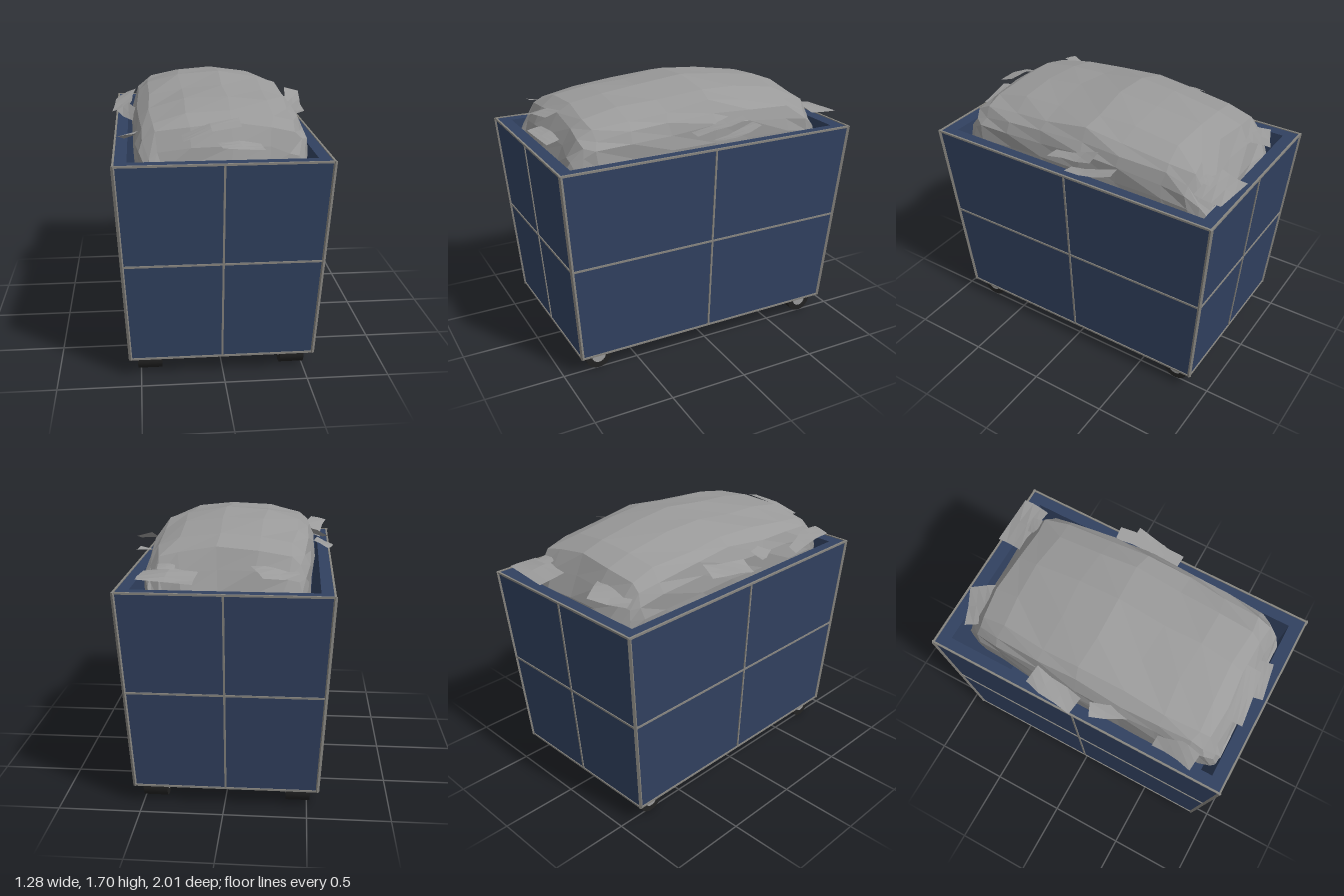
import * as THREE from 'three';

const blue = new THREE.MeshStandardMaterial({ color: 0x314160 });
const frameGrey = new THREE.MeshStandardMaterial({ color: 0x86847f });
const black = new THREE.MeshStandardMaterial({ color: 0x222222 });
const hubGrey = new THREE.MeshStandardMaterial({ color: 0x9a9a9a });
const heapGrey = new THREE.MeshStandardMaterial({ color: 0x9a9a9a, flatShading: true, side: THREE.DoubleSide });
blue.name = 'bin blue'; frameGrey.name = 'frame grey'; black.name = 'tyre black';
hubGrey.name = 'hub grey'; heapGrey.name = 'heap grey';
blue.flatShading = true;

const CX = -0.007, BOTTOM = 0.12, TOP = 1.36;

// Flat-faced skin over closed rings, capped at both ends
function loft(rings) {
  const pos = [];
  const tri = (...p) => p.forEach(v => pos.push(...v));
  const centre = r => [0, 1, 2].map(k => r.reduce((s, p) => s + p[k], 0) / r.length);
  const n = rings[0].length, last = rings[rings.length - 1];
  for (let j = 0; j < n; j++) {
    const k = (j + 1) % n;
    for (let i = 0; i < rings.length - 1; i++) {
      const a = rings[i][j], b = rings[i][k], c = rings[i + 1][k], d = rings[i + 1][j];
      tri(a, b, c); tri(a, c, d);
    }
    tri(centre(rings[0]), rings[0][k], rings[0][j]);
    tri(centre(last), last[j], last[k]);
  }
  const g = new THREE.BufferGeometry();
  g.setAttribute('position', new THREE.Float32BufferAttribute(pos, 3));
  g.computeVertexNormals();
  return g;
}

function add(parent, name, geometry, material) {
  const m = new THREE.Mesh(geometry, material);
  m.name = name;
  parent.add(m);
  return m;
}

const rect = (hx, hz, y) => [[CX - hx, y, hz], [CX + hx, y, hz], [CX + hx, y, -hz], [CX - hx, y, -hz]];

// Outer wall rectangle at a given height
function wallRect(y) {
  const t = (y - BOTTOM) / (TOP - BOTTOM);
  return rect(0.555 + 0.061 * t, 0.889 + 0.102 * t, y);
}

function beam(parent, name, a, b, w) {
  const p = new THREE.Vector3(...a), q = new THREE.Vector3(...b);
  const m = add(parent, name, new THREE.BoxGeometry(w, w, p.distanceTo(q) + w * 0.6), frameGrey);
  m.position.copy(p).add(q).multiplyScalar(0.5);
  m.lookAt(q);
}

function buildFrame() {
  const frame = new THREE.Group();
  frame.name = 'frame';
  const low = wallRect(BOTTOM), mid = wallRect(0.745), high = wallRect(TOP);
  const half = (r, j) => r[j].map((v, k) => (v + r[(j + 1) % 4][k]) / 2);
  for (let j = 0; j < 4; j++) {
    const k = (j + 1) % 4;
    beam(frame, 'cornerStrip', low[j], high[j], 0.017);
    beam(frame, 'middleUpright', half(low, j), half(high, j), 0.012);
    beam(frame, 'bottomStrip', low[j], low[k], 0.012);
    beam(frame, 'middleStrip', mid[j], mid[k], 0.012);
    beam(frame, 'rimStrip', high[j], high[k], 0.012);
  }
  beam(frame, 'floorStrip', half(low, 0), half(low, 2), 0.012);
  beam(frame, 'floorStrip', half(low, 1), half(low, 3), 0.012);
  return frame;
}

// Rubbish heap: arched sections from back to front
function heapGeometry() {
  const base = 1.16;
  const profile = [[0.97, 0], [1, 0.4], [0.99, 0.6], [0.93, 0.73], [0.83, 0.84], [0.58, 0.93], [0.1, 1],
    [-0.4, 0.97], [-0.8, 0.87], [-0.93, 0.76], [-0.99, 0.6], [-1, 0.4], [-0.97, 0]];
  // z, half width, top height
  const sections = [[-0.87, 0.41, 1.34], [-0.82, 0.45, 1.46], [-0.75, 0.47, 1.58], [-0.6, 0.485, 1.63],
    [-0.3, 0.505, 1.67], [-0.05, 0.515, 1.695], [0.25, 0.515, 1.66], [0.5, 0.51, 1.637],
    [0.72, 0.5, 1.6], [0.8, 0.485, 1.55], [0.86, 0.46, 1.43], [0.89, 0.44, 1.33]];
  return loft(sections.map(([z, w, top], i) => profile.map(([u, v], j) => [
    u * w + 0.008 * Math.sin(i * 2.3 + j * 1.7),
    base + v * (top - base) + (v > 0 && v < 1 ? 0.008 * Math.sin(i * 1.9 + j * 2.7) : 0),
    z + 0.012 * Math.sin(i * 1.3 + j * 2.1)])));
}

// Loose scrap sheet with a slight curl
function scrapGeometry(w, d, seed) {
  const g = new THREE.PlaneGeometry(w, d, 2, 3).rotateX(-Math.PI / 2);
  const p = g.attributes.position;
  for (let i = 0; i < p.count; i++) {
    const x = p.getX(i), z = p.getZ(i);
    p.setY(i, 0.012 * Math.sin(x * 14 + z * 11 + seed));
    p.setX(i, x + 0.008 * Math.sin(z * 17 + seed * 2));
  }
  g.computeVertexNormals();
  return g;
}

export function createModel() {
  const model = new THREE.Group();
  model.name = 'wheeledBin';

  // Tapered open container with a flat rim
  add(model, 'container', loft([wallRect(BOTTOM), wallRect(TOP), rect(0.54, 0.905, TOP), rect(0.48, 0.815, 0.2)]), blue);
  model.add(buildFrame());

  // Four wide wheels with light hubs
  for (const sx of [-1, 1]) for (const sz of [-1, 1]) {
    const wheel = new THREE.Group();
    wheel.name = 'wheel';
    add(wheel, 'tyre', new THREE.CylinderGeometry(0.086, 0.086, 0.148, 24).rotateZ(Math.PI / 2), black);
    add(wheel, 'hub', new THREE.CylinderGeometry(0.046, 0.046, 0.153, 20).rotateZ(Math.PI / 2), hubGrey);
    wheel.position.set(CX + sx * 0.438, 0.086, sz * 0.765);
    model.add(wheel);
  }

  add(model, 'heap', heapGeometry(), heapGrey);

  // Scraps: x, y, z, width, depth, tilt about x, y, z
  const scraps = [
    [-0.3, 1.46, -0.83, 0.25, 0.17, -0.25, 0.38, 0.1],
    [0.315, 1.44, -0.895, 0.32, 0.18, -0.15, -0.05, 0],
    [0.34, 1.47, -0.8, 0.1, 0.09, -0.3, 0.15, 0.1],
    [-0.57, 1.49, -0.15, 0.12, 0.32, 0.1, -0.18, 0.4],
    [0.575, 1.435, -0.17, 0.09, 0.31, 0.13, 0.12, 0.1],
    [0.555, 1.495, -0.04, 0.1, 0.33, 0.26, -0.05, -0.1],
    [-0.515, 1.49, 0.23, 0.09, 0.29, 0.15, 0.45, 0.5],
    [-0.53, 1.45, 0.65, 0.11, 0.28, -0.2, -0.15, 0.25],
    [-0.07, 1.53, 0.86, 0.34, 0.1, 0.2, 0.17, 0.2],
    [0.1, 1.44, 0.9, 0.25, 0.1, 0.15, 0.13, -0.03],
  ];
  scraps.forEach(([x, y, z, w, d, rx, ry, rz], i) => {
    const s = add(model, 'scrap', scrapGeometry(w, d, i), heapGrey);
    s.position.set(x, y, z);
    s.rotation.set(rx, ry, rz);
  });
  return model;
}
